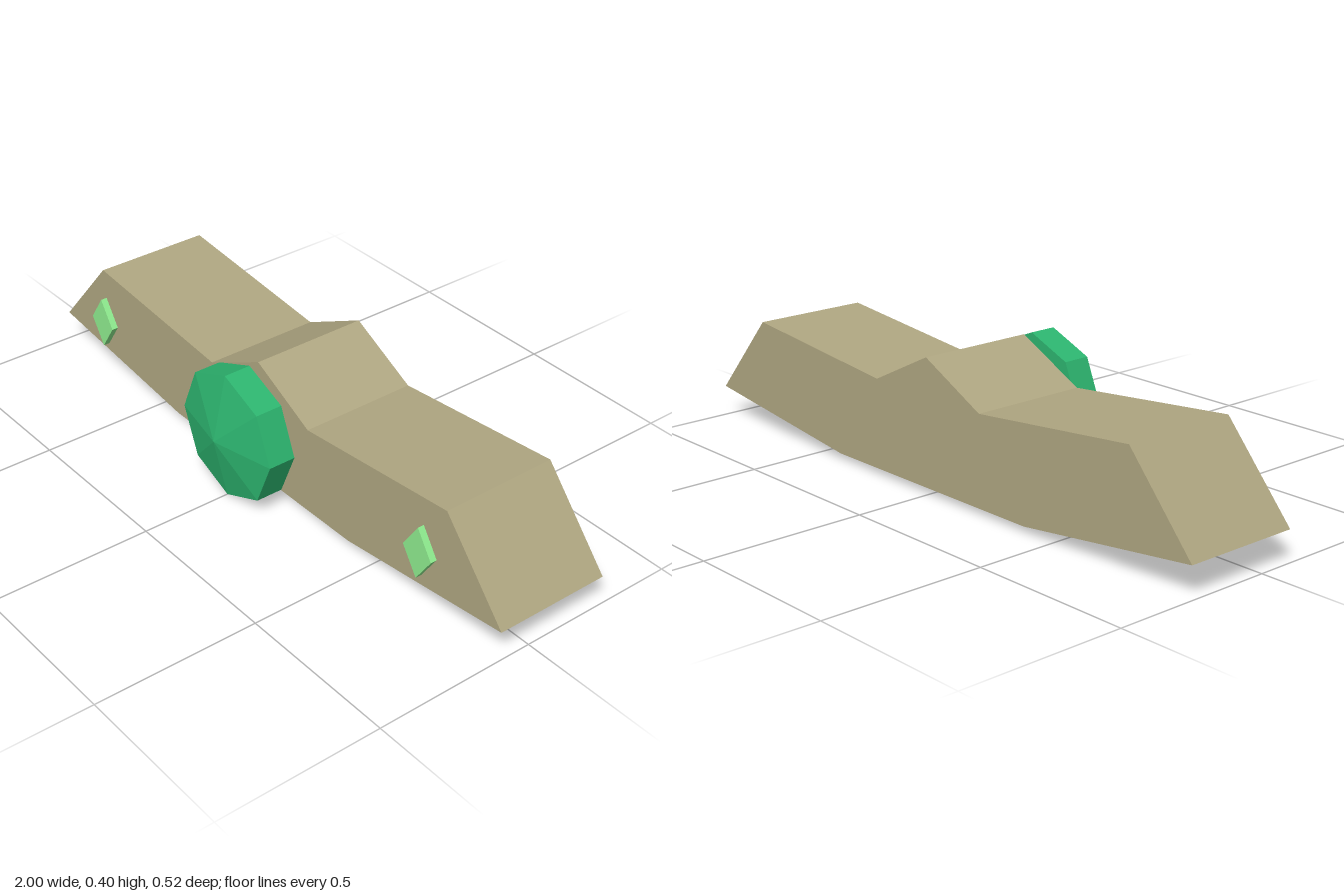
import * as THREE from 'three';

const material = (color) => new THREE.MeshStandardMaterial({ color, flatShading: true });

// Extrudes a flat outline between two depths
function slab(name, points, back, front, mat) {
  const shape = new THREE.Shape(points.map(([x, y]) => new THREE.Vector2(x, y)));
  const geometry = new THREE.ExtrudeGeometry(shape, { depth: front - back, bevelEnabled: false });
  geometry.translate(0, 0, back);
  const mesh = new THREE.Mesh(geometry, mat);
  mesh.name = name;
  return mesh;
}

export function createModel() {
  const model = new THREE.Group();
  model.name = 'jewelledBand';
  const tan = material(0xb0a782);
  const green = material(0x2db670);
  const lightGreen = material(0x90ee90);

  // Band: right half of the outline, mirrored for the left half
  const half = [[0.4, 0.02], [1, 0.093], [0.78, 0.345], [0.22, 0.29]];
  const mirrored = half.map(([x, y]) => [-x, y]).reverse();
  model.add(slab('band', [...half, [0, 0.4], ...mirrored], -0.26, 0.103, tan));

  // Central gem: octagonal girdle with a shallow pointed front
  const gem = new THREE.Group();
  gem.name = 'centralGem';
  const profile = [[0, 0.133], [0.2, 0.133], [0.2, 0.218], [0, 0.262]];
  const gemGeometry = new THREE.LatheGeometry(profile.map(([r, d]) => new THREE.Vector2(r, d)), 8);
  gemGeometry.rotateX(Math.PI / 2);
  const gemMesh = new THREE.Mesh(gemGeometry, green);
  gemMesh.name = 'gemStone';
  gem.add(gemMesh);
  gem.position.y = 0.2;
  model.add(gem);

  // Small diamond studs at both ends
  for (const side of [-1, 1]) {
    const stud = slab(side > 0 ? 'leftStud' : 'rightStud',
      [[0, -0.081], [0.054, 0], [0, 0.081], [-0.054, 0]], 0.13, 0.15, lightGreen);
    stud.position.set(side * 0.726, 0.201, 0);
    model.add(stud);
  }
  return model;
}
